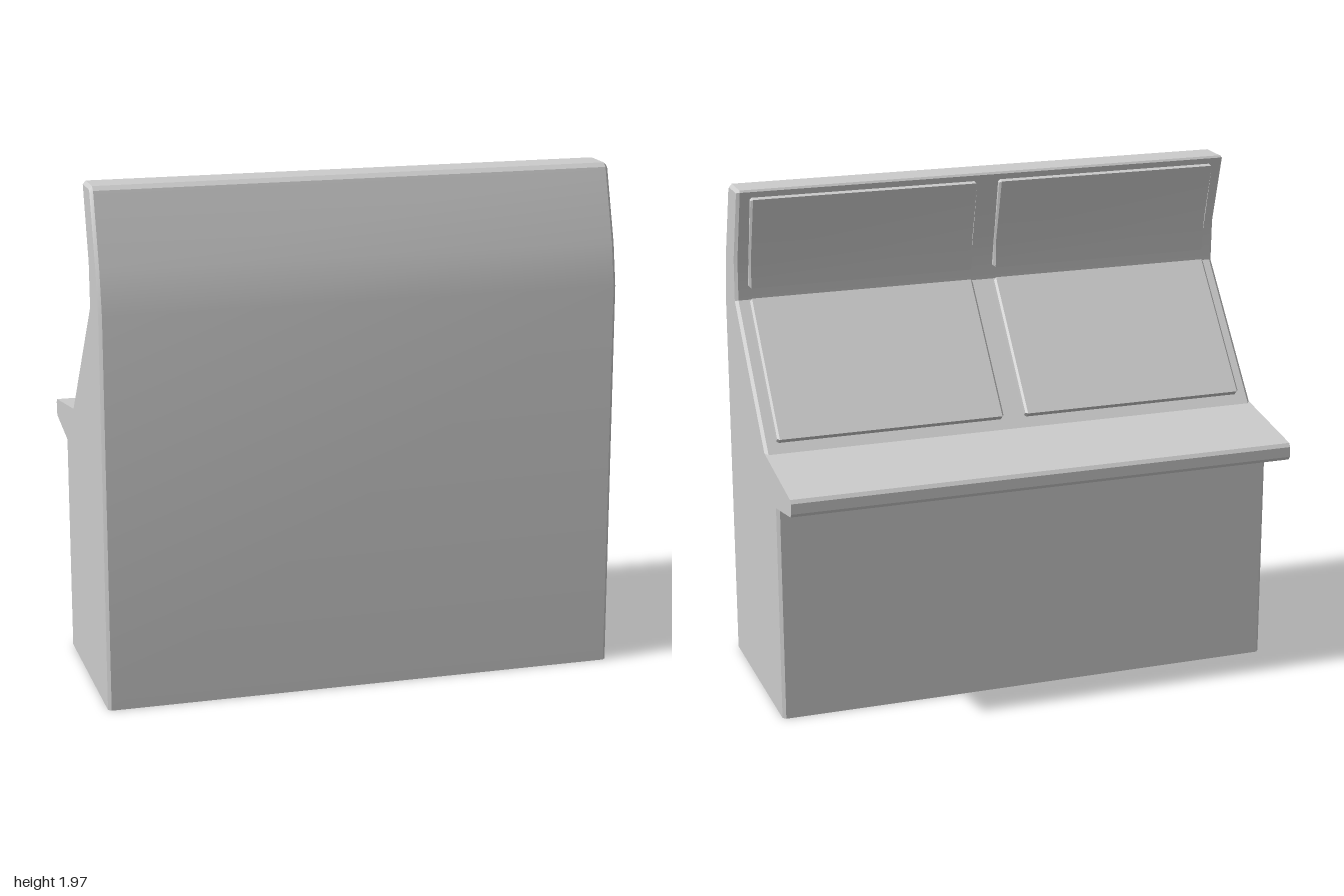
import * as THREE from 'three';
import { toCreasedNormals } from 'three/addons/utils/BufferGeometryUtils.js';

const material = new THREE.MeshStandardMaterial({ color: 0xcccccc, side: THREE.DoubleSide });

// Moves each segment of a [z, y, inset] profile inwards by its own inset.
function insetProfile(profile) {
  const lines = profile.slice(0, -1).map(([z, y, d], i) => {
    const dz = profile[i + 1][0] - z, dy = profile[i + 1][1] - y, l = Math.hypot(dz, dy);
    return { nz: -dy / l, ny: dz / l, d };
  });
  return profile.map(([z, y], i) => {
    const a = lines[i - 1], b = lines[i];
    if (!a || !b) {
      const e = a || b;
      return [z + e.nz * e.d, i === 0 || i === profile.length - 1 ? y + (Math.abs(e.ny) < 0.1 ? 0 : e.ny * e.d) : y];
    }
    const det = a.nz * b.ny - a.ny * b.nz;
    if (Math.abs(det) < 1e-4) return [z + a.nz * a.d, y + a.ny * a.d];
    return [z + (a.d * b.ny - b.d * a.ny) / det, y + (a.nz * b.d - b.nz * a.d) / det];
  });
}

// Open profile swept along x, with chamfered side edges and flat end caps.
function sweep(name, profile, halfWidth, chamfer) {
  const inner = insetProfile(profile);
  const stations = [
    [-halfWidth, inner], [-halfWidth + chamfer, profile],
    [halfWidth - chamfer, profile], [halfWidth, inner],
  ];
  const positions = [];
  const put = (x, p) => positions.push(x, p[1], p[0]);
  for (let j = 0; j < 3; j++) {
    const [x0, p] = stations[j], [x1, q] = stations[j + 1];
    for (let i = 0; i < profile.length - 1; i++) {
      put(x0, p[i]); put(x1, q[i]); put(x1, q[i + 1]);
      put(x0, p[i]); put(x1, q[i + 1]); put(x0, p[i + 1]);
    }
  }
  const loop = [...inner].reverse();
  const faces = THREE.ShapeUtils.triangulateShape(loop.map(([z, y]) => new THREE.Vector2(-z, y)), []);
  for (const [a, b, c] of faces) {
    [a, b, c].forEach((k) => put(halfWidth, loop[k]));
    [c, b, a].forEach((k) => put(-halfWidth, loop[k]));
  }
  const geometry = new THREE.BufferGeometry();
  geometry.setAttribute('position', new THREE.Float32BufferAttribute(positions, 3));
  const mesh = new THREE.Mesh(toCreasedNormals(geometry, 0.45), material);
  mesh.name = name;
  return mesh;
}

export function createModel() {
  const model = new THREE.Group();
  model.name = 'controlConsole';

  // Cabinet shell, open underneath: tall face, top, screen slopes, desk ledge, lower wall
  const e = 0.012;
  model.add(sweep('cabinet', [
    [0.49, 0, e], [0.485, 1.51, e], [0.455, 1.675, e], [0.37, 1.95, e],
    [0.352, 1.965, e], [0.225, 1.965, e], [0.219, 1.957, e], [0.3, 1.675, e],
    [0.305, 1.515, e], [-0.115, 1.02, 0], [-0.48, 0.966, 0], [-0.49, 0.952, 0],
    [-0.49, 0.912, 0], [-0.48, 0.898, 0], [-0.27, 0.86, e], [-0.27, 0, e],
  ], 1, e));

  // Two columns of raised panels
  const r = 0.008;
  const upper = [
    [0.226, 1.934, r], [0.205, 1.929, r], [0.275, 1.68, r], [0.281, 1.565, r], [0.304, 1.565, r],
  ];
  const lower = [
    [0.3, 1.507, r], [0.277, 1.526, r], [-0.108, 1.073, r], [-0.086, 1.054, r],
  ];
  for (const side of [-1, 1]) {
    const label = side > 0 ? 'left' : 'right';
    for (const [part, profile] of [['UpperPanel', upper], ['LowerPanel', lower]]) {
      const panel = sweep(label + part, profile, 0.452, r);
      panel.position.x = side * 0.497;
      model.add(panel);
    }
  }
  return model;
}
